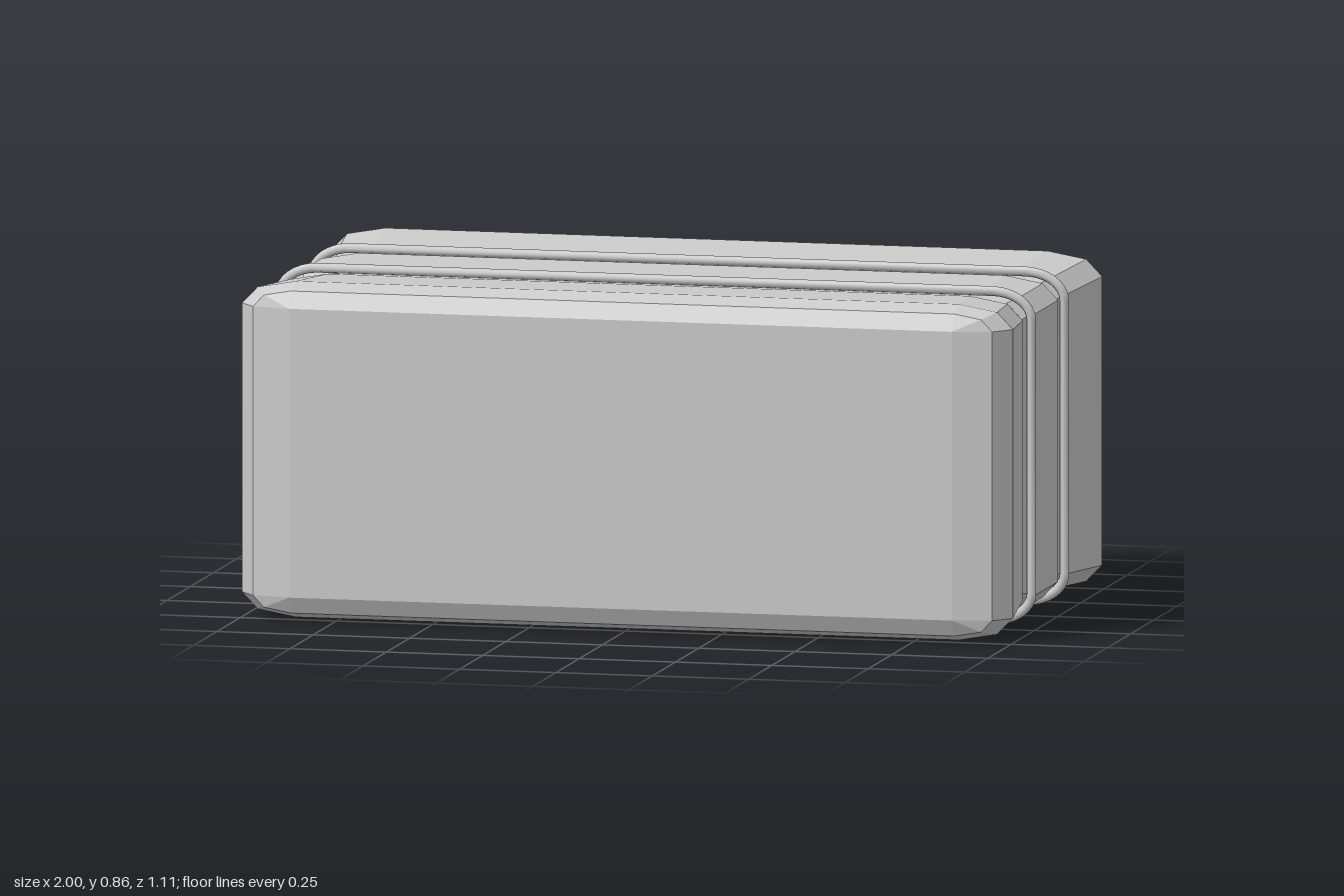
import * as THREE from 'three';

const CY = 0.432; // height of the bale's centre line
const grey = (flat) => new THREE.MeshStandardMaterial({ color: 0xcccccc, flatShading: flat });

// Rounded rectangle loop at depth z: (cx, cy) is the corner centre, (rx, ry) the corner radii
function section(cx, cy, rx, ry, steps, z) {
  const loop = [];
  [[1, 1], [-1, 1], [-1, -1], [1, -1]].forEach(([sx, sy], k) => {
    for (let s = 0; s <= steps; s++) {
      const a = (k + s / steps) * Math.PI / 2;
      loop.push([sx * cx + rx * Math.cos(a), CY + sy * cy + ry * Math.sin(a), z]);
    }
  });
  return loop;
}

// Skin a list of equal loops, either capped at both ends or joined into a ring
function loft(loops, ring) {
  const n = loops[0].length, m = loops.length, index = [];
  for (let i = 0; i < (ring ? m : m - 1); i++) {
    for (let j = 0; j < n; j++) {
      const i2 = (i + 1) % m, j2 = (j + 1) % n;
      const a = i * n + j, b = i * n + j2, c = i2 * n + j, d = i2 * n + j2;
      index.push(a, c, b, b, c, d);
    }
  }
  if (!ring) {
    const q = n / 4, e = (m - 1) * n;
    index.push(0, q, 2 * q, 0, 2 * q, 3 * q);
    index.push(e, e + 2 * q, e + q, e, e + 3 * q, e + 2 * q);
  }
  const g = new THREE.BufferGeometry();
  g.setAttribute('position', new THREE.Float32BufferAttribute(loops.flat(2), 3));
  g.setIndex(index);
  g.computeVertexNormals();
  return g;
}

// Bevelled block, pinched in where the bands squeeze it
function baleBody() {
  const ring = (z, scale, bevel) =>
    section(0.86 * scale, 0.368 * scale, 0.14 * scale * bevel, 0.06 * scale * bevel, 2, z);
  const half = [
    ring(0.555, 1, 0),
    ring(0.533, 1, Math.SQRT1_2),
    ring(0.48, 1, 1),
    ring(0.25, 0.97, 1),
    ring(0.175, 0.95, 1),
    ring(0.11, 0.975, 1),
  ];
  const back = half.map((loop) => loop.map(([x, y, z]) => [x, y, -z])).reverse();
  return loft([...half, ...back], false);
}

// Thin cord wrapped around the block
function band(z0) {
  const r = 0.0125, sides = 8, loops = [];
  for (let i = 0; i < sides; i++) {
    const a = i / sides * Math.PI * 2, o = r * Math.cos(a);
    loops.push(section(0.875, 0.349, 0.1 + o, 0.07 + o, 8, z0 - r * Math.sin(a)));
  }
  return loft(loops, true);
}

export function createModel() {
  const model = new THREE.Group();
  model.name = 'bale';
  const add = (name, geometry, flat) => {
    const mesh = new THREE.Mesh(geometry, grey(flat));
    mesh.name = name;
    model.add(mesh);
  };
  add('baleBody', baleBody(), true);
  add('frontBand', band(0.177), false);
  add('backBand', band(-0.177), false);
  return model;
}
